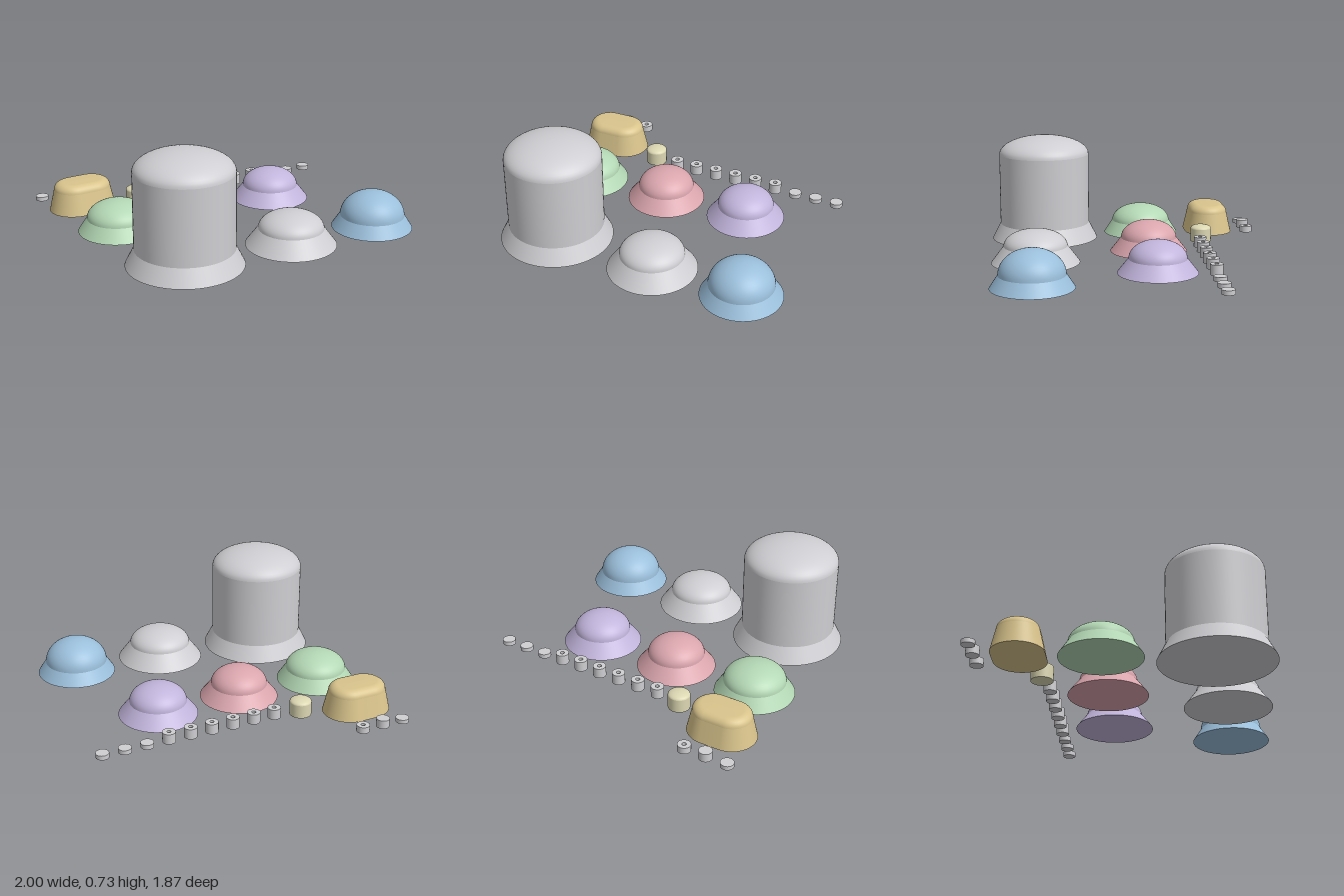
import * as THREE from 'three';

const SEG = 64;

// Quarter-ellipse profile from the rim (r, y0) up to the crown (rTop, y1)
function dome(r, y0, y1, rTop = 0, steps = 14) {
  const pts = [];
  for (let i = 0; i <= steps; i++) {
    const a = (i / steps) * Math.PI / 2;
    pts.push([i === steps ? rTop : rTop + (r - rTop) * Math.cos(a), y0 + (y1 - y0) * Math.sin(a)]);
  }
  return pts;
}

// Lathe made of smooth runs; repeated points between runs give sharp creases
function turn(runs, segments = SEG, phiStart = 0) {
  const pts = runs.flat().map(([r, y]) => new THREE.Vector2(r, y));
  return new THREE.LatheGeometry(pts, segments, phiStart);
}

export function createModel() {
  const model = new THREE.Group();
  model.name = 'domedPartsSet';

  const mat = (name, hex) => {
    const m = new THREE.MeshStandardMaterial({ color: hex });
    m.name = name;
    return m;
  };
  const grey = mat('light grey', 0xcfcfd3);
  const blue = mat('soft blue', 0x9bbfdb);
  const green = mat('soft green', 0xb4d8b5);
  const pink = mat('soft pink', 0xdba6ae);
  const purple = mat('soft purple', 0xc2b5dc);
  const tan = mat('tan', 0xd9c48c);
  const cream = mat('cream', 0xdcd7b2);

  const add = (name, geometry, material, x, z) => {
    const mesh = new THREE.Mesh(geometry, material);
    mesh.name = name;
    mesh.position.set(x, 0, z);
    model.add(mesh);
    return mesh;
  };

  // Tall domed cap with a flared skirt
  add('tallCap', turn([
    [[0, 0], [0.37, 0]],
    [[0.37, 0], [0.314, 0.11]],
    [[0.314, 0.11], [0.314, 0.6]],
    dome(0.314, 0.6, 0.73),
  ]), grey, -0.63, 0.56);

  // Low domed caps: flared skirt, then an elliptical crown
  const caps = [
    ['greyCap', grey, 0.095, 0.635, 0.292, 0.21, 0.11, 0.22],
    ['blueCap', blue, 0.713, 0.663, 0.264, 0.21, 0.083, 0.245],
    ['greenCap', green, -0.74, -0.135, 0.262, 0.204, 0.088, 0.205],
    ['pinkCap', pink, -0.155, -0.135, 0.261, 0.188, 0.093, 0.212],
    ['purpleCap', purple, 0.43, -0.135, 0.261, 0.188, 0.093, 0.212],
  ];
  for (const [name, material, x, z, rBase, rDome, ySeam, yTop] of caps) {
    add(name, turn([
      [[0, 0], [rBase, 0]],
      [[rBase, 0], [rDome, ySeam]],
      dome(rDome, ySeam, yTop),
    ]), material, x, z);
  }

  // Oblong block: tapered round block pulled apart along x into a stadium
  const runs = [
    [[0, 0], [0.166, 0]],
    [[0.166, 0], [0.133, 0.145]],
    [...dome(0.133, 0.145, 0.197, 0.075, 8), [0, 0.199]],
  ];
  const step = (Math.PI * 2) / SEG;
  const oblong = turn(runs, SEG, step / 2);
  const pos = oblong.attributes.position;
  const perColumn = runs.flat().length;
  for (let i = 0; i < pos.count; i++) {
    const angle = step / 2 + Math.floor(i / perColumn) * step;
    pos.setX(i, pos.getX(i) + Math.sign(Math.sin(angle)) * 0.062);
  }
  add('oblongBlock', oblong, tan, -0.772, -0.625);

  // Small cream button with a shallow dome
  add('creamButton', turn([
    [[0, 0], [0.072, 0]],
    [[0.072, 0], [0.072, 0.09]],
    dome(0.072, 0.09, 0.116, 0, 8),
  ], 40), cream, -0.41, -0.53);

  // Round pegs, some with a small blind hole in the top
  const R = 0.043, HOLE = 0.014;
  const peg = (name, x, z, h, holed) => {
    const top = holed
      ? [[[R, h], [HOLE, h]], [[HOLE, h], [HOLE, h - 0.025]], [[HOLE, h - 0.025], [0, h - 0.025]]]
      : [[[R, h], [0, h]]];
    add(name, turn([[[0, 0], [R, 0]], [[R, 0], [R, h]], ...top], 32), grey, x, z);
  };
  for (let i = 0; i < 9; i++) {
    const tall = i < 6;
    peg(tall ? 'holedPeg' : 'shortPeg', -0.232 + i * 0.1482, -0.5, tall ? 0.07 : 0.03, tall);
  }
  peg('shortPeg', -0.957, -0.897, 0.028, false);
  peg('plainPeg', -0.81, -0.897, 0.057, false);
  peg('holedPeg', -0.663, -0.897, 0.044, true);

  return model;
}
